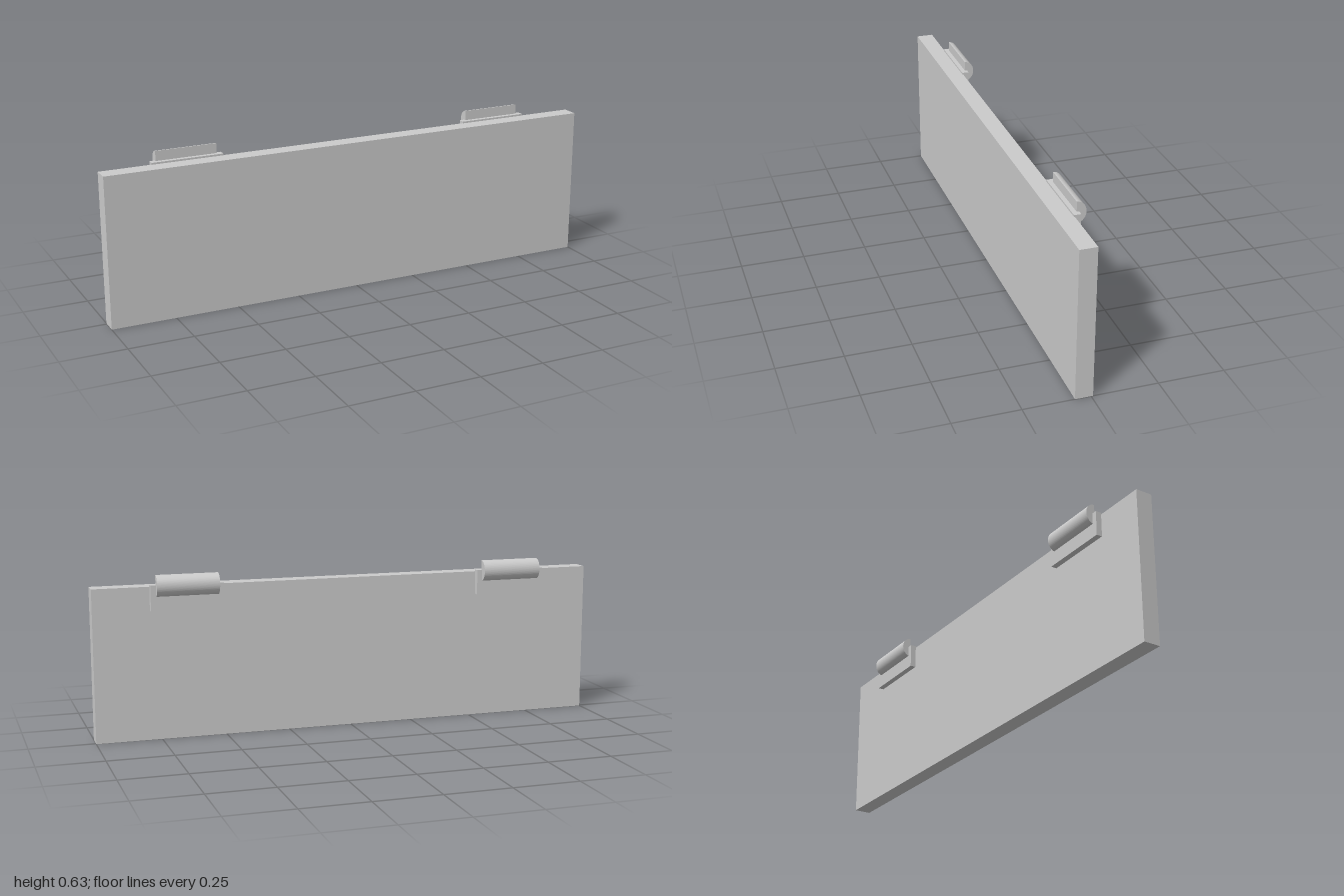
import * as THREE from 'three';

const material = new THREE.MeshStandardMaterial({ color: 0xcccccc });

// Box given by its lower and upper limits on each axis
function box(name, [x0, x1], [y0, y1], [z0, z1]) {
  const mesh = new THREE.Mesh(new THREE.BoxGeometry(x1 - x0, y1 - y0, z1 - z0), material);
  mesh.position.set((x0 + x1) / 2, (y0 + y1) / 2, (z0 + z1) / 2);
  mesh.name = name;
  return mesh;
}

// Half-round barrel along x: flat side to the front, bulge to the back
function barrel(width) {
  const profile = new THREE.Shape();
  profile.absellipse(0, 0, 0.036, 0.041, -Math.PI / 2, Math.PI / 2, false, 0);
  profile.closePath();
  const geometry = new THREE.ExtrudeGeometry(profile, { depth: width, bevelEnabled: false, curveSegments: 24 });
  geometry.translate(0, 0, -width / 2);
  geometry.rotateY(Math.PI / 2); // profile x becomes -z, depth becomes x
  const mesh = new THREE.Mesh(geometry, material);
  mesh.name = 'hingeBarrel';
  mesh.position.set(0, 0.589, -0.021);
  return mesh;
}

export function createModel() {
  const model = new THREE.Group();
  model.name = 'hingedPanel';

  // Main board
  model.add(box('panel', [-1, 1], [0, 0.585], [-0.007, 0.059]));

  // Two hinges on the upper back edge
  for (const [name, x] of [['rightHinge', -0.66], ['leftHinge', 0.646]]) {
    const hinge = new THREE.Group();
    hinge.name = name;
    hinge.add(box('hingePlate', [-0.139, 0.139], [0.495, 0.592], [-0.03, -0.004]));
    hinge.add(barrel(0.237));
    hinge.position.x = x;
    model.add(hinge);
  }
  return model;
}
